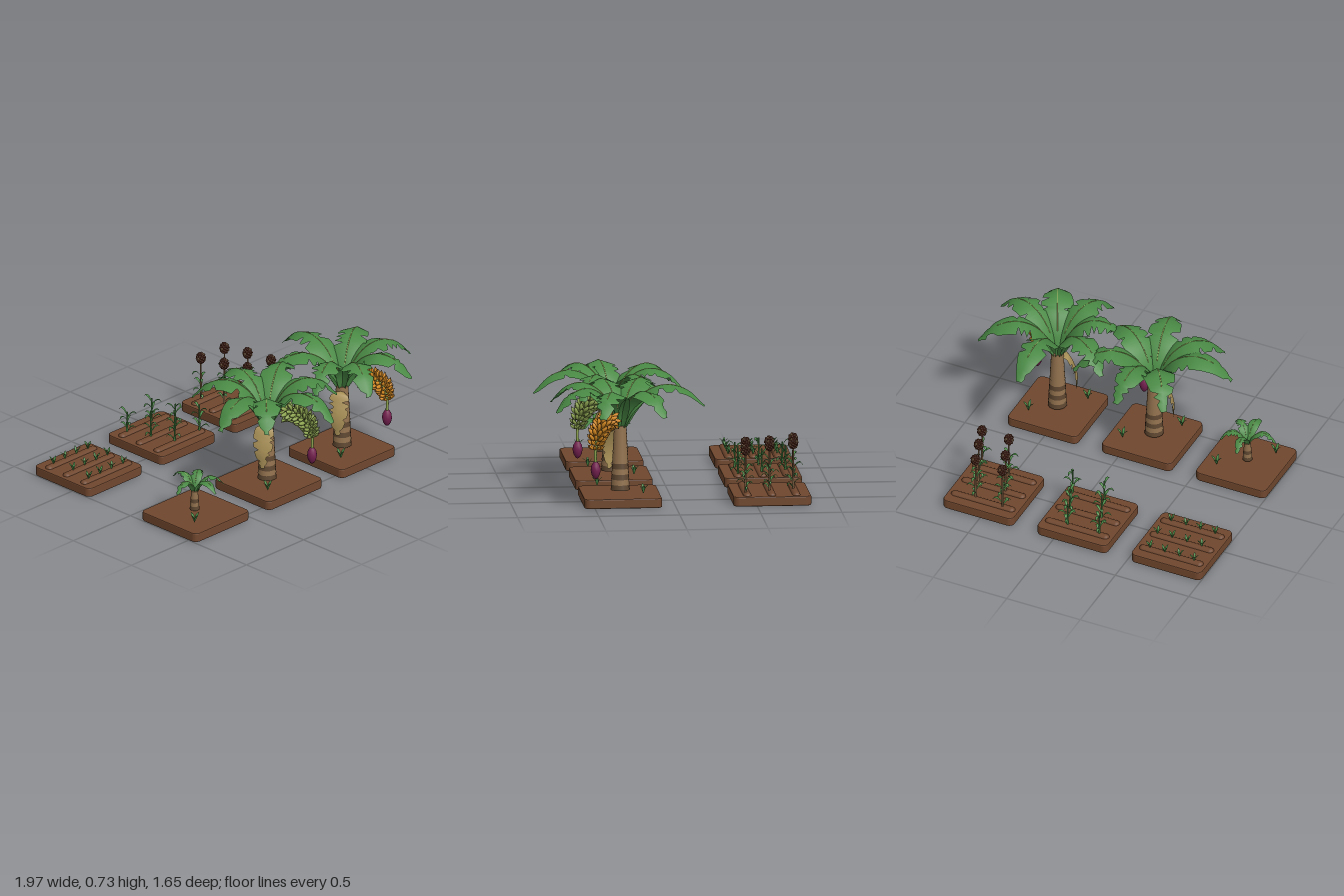
import * as THREE from 'three';

const mat = (name, color, side = THREE.FrontSide) => {
  const m = new THREE.MeshStandardMaterial({ color, side });
  m.name = name;
  return m;
};
const V = (x, y, z = 0) => new THREE.Vector3(x, y, z);

export function createModel() {
  const soil = mat('soil', 0x70472e), leaf = mat('leafGreen', 0x4a8a45, THREE.DoubleSide);
  const rib = mat('midribYellow', 0xb4b765), bark = mat('trunkTan', 0x8f6f4c);
  const darkBark = mat('darkBark', 0x5c452f), dry = mat('dryLeaf', 0xaa9158, THREE.DoubleSide);
  const ripe = mat('ripeFruit', 0xd98c22), unripe = mat('unripeFruit', 0x8fa651);
  const purple = mat('budPurple', 0x74204f), grain = mat('grainBrown', 0x5a2a1a);

  let seed = 7;
  const rnd = () => (seed = (seed * 16807) % 2147483647) / 2147483647;

  const model = new THREE.Group();
  model.name = 'farmPlots';
  const add = (parent, name, geo, m, x = 0, y = 0, z = 0) => {
    const mesh = new THREE.Mesh(geo, m);
    mesh.name = name;
    mesh.position.set(x, y, z);
    parent.add(mesh);
    return mesh;
  };
  const group = (parent, name, x = 0, y = 0, z = 0) => {
    const g = new THREE.Group();
    g.name = name;
    g.position.set(x, y, z);
    parent.add(g);
    return g;
  };

  // Blade along +x: three points per row, edges drooped, optional torn notches
  function blade(curve, half, rows, droop, torn) {
    const pos = [], idx = [];
    for (let i = 0; i <= rows; i++) {
      const t = i / rows, p = curve.getPoint(t), tan = curve.getTangent(t);
      const w = half * Math.sin(Math.PI * (0.06 + 0.9 * t)) ** 0.8;
      const cut = () => (torn && t > 0.42 && rnd() < 0.27 ? 0.4 + 0.3 * rnd() : 1);
      for (const s of [-1, 0, 1]) {
        const e = w * (s ? cut() : 0);
        pos.push(p.x + tan.y * droop * e, p.y - tan.x * droop * e, s * e);
      }
      if (i < rows) for (const k of [0, 1]) {
        const a = i * 3 + k;
        idx.push(a, a + 1, a + 3, a + 1, a + 4, a + 3);
      }
    }
    const g = new THREE.BufferGeometry();
    g.setAttribute('position', new THREE.Float32BufferAttribute(pos, 3));
    g.setIndex(idx);
    g.computeVertexNormals();
    return g;
  }
  const path = (pts, sx = 1, sy = 1) => new THREE.CatmullRomCurve3(pts.map(([x, y]) => V(x * sx, y * sy)));

  // Crown of arching leaves; each entry is [angle in degrees, reach]
  const arch = [[0.012, -0.01], [0.06, 0.12], [0.14, 0.215], [0.25, 0.258], [0.37, 0.225], [0.47, 0.125]];
  function crown(parent, y, leaves, size, half) {
    const g = group(parent, 'leafCrown', 0, y, 0);
    for (const [deg, reach] of leaves) {
      const curve = path(arch, reach / 0.47, size);
      const one = group(g, 'leaf');
      one.rotation.y = -deg * Math.PI / 180;
      add(one, 'leafBlade', blade(curve, half, 30, 0.35, true), leaf);
      const line = new THREE.CatmullRomCurve3([0.2, 0.35, 0.5, 0.65, 0.78].map(t => curve.getPoint(t)));
      add(one, 'midrib', new THREE.TubeGeometry(line, 14, 0.0025 * size, 4), rib);
    }
  }

  // Trunk of overlapping flared sheaths, darker near the foot
  function trunk(parent, y0, y1, r0, r1, n) {
    const h = (y1 - y0) / n;
    for (let i = 0; i < n; i++) {
      const r = r0 + (r1 - r0) * i / n;
      add(parent, 'trunkSheath', new THREE.CylinderGeometry(r * 0.94, r * 1.03, h, 14),
        i < n / 2 && i % 2 === 0 ? darkBark : bark, 0, y0 + h * (i + 0.5), 0);
    }
  }

  // Curved fruit finger growing along +y from the origin
  const finger = new THREE.LatheGeometry([[0, 0], [0.005, 0.002], [0.011, 0.018], [0.0125, 0.034], [0.009, 0.05], [0.003, 0.058]]
    .map(([x, y]) => new THREE.Vector2(x, y)), 7);
  const tip = new THREE.CylinderGeometry(0.002, 0.0035, 0.008, 5).translate(0, 0.06, 0);
  for (const g of [finger, tip]) {
    const p = g.attributes.position;
    for (let i = 0; i < p.count; i++) p.setX(i, p.getX(i) + 4.5 * p.getY(i) * (0.058 - p.getY(i)));
    g.computeVertexNormals();
  }

  // Fruit bunch hanging from an arched stalk, with a flower bud at the end
  function bunch(parent, deg, colour) {
    const g = group(parent, 'fruitBunch');
    g.rotation.y = -deg * Math.PI / 180;
    const stalk = path([[0, 0.46], [0.07, 0.515], [0.16, 0.525], [0.245, 0.465], [0.278, 0.37], [0.278, 0.27]]);
    add(g, 'stalk', new THREE.TubeGeometry(stalk, 24, 0.009, 7), unripe);
    const side = V(0, 0, 1);
    for (let h = 0; h < 10; h++) {
      const t = 0.3 + 0.055 * h, p = stalk.getPointAt(t), T = stalk.getTangentAt(t);
      const up = V().crossVectors(side, T), scale = h > 6 ? 1 - 0.1 * (h - 6) : 1;
      for (let k = 0; k < 8; k++) {
        const a = (k + (h % 2) / 2) * Math.PI / 4;
        const out = V().addScaledVector(up, Math.cos(a)).addScaledVector(side, Math.sin(a));
        const dir = out.clone().multiplyScalar(0.85).addScaledVector(T, -0.5).normalize();
        const bend = out.clone().addScaledVector(dir, -out.dot(dir)).normalize();
        const m = new THREE.Matrix4().makeBasis(bend, dir, V().crossVectors(bend, dir));
        const f = group(g, 'fruit');
        f.position.copy(p).addScaledVector(out, 0.012);
        f.quaternion.setFromRotationMatrix(m);
        f.scale.setScalar(scale * 1.08);
        add(f, 'fruitBody', finger, colour);
        add(f, 'fruitTip', tip, darkBark);
      }
    }
    const bud = [[0, -0.056], [0.012, -0.05], [0.025, -0.028], [0.031, 0], [0.027, 0.028], [0.014, 0.05], [0, 0.056]];
    add(g, 'flowerBud', new THREE.LatheGeometry(bud.map(([x, y]) => new THREE.Vector2(x, y)), 14), purple, 0.278, 0.24, 0);
  }

  // Low sprout of short upright blades
  function sprout(parent, x, y, z, size) {
    const g = group(parent, 'sprout', x, y, z);
    const curve = path([[0, 0], [0.25, 0.7], [0.6, 1]], size, size);
    for (let k = 0; k < 4; k++) {
      add(g, 'sproutBlade', blade(curve, size * 0.17, 5, 0.2, false), leaf).rotation.y = k * 1.57 + x * 20 + z * 9;
    }
  }

  // Upright crop stalk with alternating leaves and, when mature, a grain head
  function stalkPlant(parent, x, z, h, mature) {
    const g = group(parent, mature ? 'maturePlant' : 'youngPlant', x, 0.07, z);
    add(g, 'stem', new THREE.CylinderGeometry(0.004, 0.007, h, 6), mature ? bark : leaf, 0, h / 2, 0);
    const n = mature ? 8 : 7, top = mature ? 0.17 : h * 0.92, turn = rnd() * 6;
    for (let k = 0; k < n; k++) {
      const L = 0.05 + 0.015 * rnd();
      const curve = path([[0, 0], [0.4, 0.55], [0.75, 0.65], [1, 0.35]], L, L);
      add(g, 'stalkLeaf', blade(curve, 0.009, 7, 0.3, false), leaf, 0, 0.01 + top * k / n, 0).rotation.y = turn + k * 2.5;
    }
    if (!mature) return;
    const head = group(g, 'grainHead', 0, h, 0);
    const seedGeo = new THREE.IcosahedronGeometry(0.0095, 0);
    add(head, 'grainCore', new THREE.SphereGeometry(0.022, 10, 8), grain).scale.y = 1.3;
    for (let k = 0; k < 36; k++) {
      const y = 1 - 2 * (k + 0.5) / 36, r = Math.sqrt(1 - y * y), a = k * 2.4;
      add(head, 'grainSeed', seedGeo, k % 7 === 3 ? bark : grain, 0.024 * r * Math.cos(a), 0.031 * y, 0.024 * r * Math.sin(a));
    }
  }

  // Soil beds: rounded slabs with a small bevel
  const s = 0.233, c = 0.03, outline = new THREE.Shape();
  outline.absarc(s - c, s - c, c, 0, Math.PI / 2);
  outline.absarc(c - s, s - c, c, Math.PI / 2, Math.PI);
  outline.absarc(c - s, c - s, c, Math.PI, Math.PI * 1.5);
  outline.absarc(s - c, c - s, c, Math.PI * 1.5, Math.PI * 2);
  const bed = new THREE.ExtrudeGeometry(outline, { depth: 0.046, bevelSize: 0.007, bevelThickness: 0.007, bevelSegments: 2, curveSegments: 6 });
  bed.rotateX(-Math.PI / 2).translate(0, 0.007, 0);
  const ridge = new THREE.CapsuleGeometry(0.026, 0.38, 5, 12).rotateZ(Math.PI / 2).scale(1, 0.75, 1);
  const xs = [-0.76, -0.12, 0.52], rowsZ = [-0.15, 0, 0.152];
  const [front, back] = [0.325, -0.595].map(z => xs.map(x => {
    const g = group(model, z > 0 ? 'treePlot' : 'cropPlot', x, 0, z);
    add(g, 'soilBed', bed, soil);
    if (z < 0) for (const r of rowsZ) add(g, 'soilRidge', ridge, soil, 0, 0.058, r);
    else for (const q of [-1, 1]) sprout(g, q * 0.14, 0.077, -q * 0.13, 0.055);
    return g;
  }));

  // Crop rows at three growth stages
  rowsZ.forEach((z, i) => {
    const shift = [0, 0.02, 0][i];
    for (let k = 0; k < 4; k++) sprout(back[0], -0.155 + shift + k * 0.1, 0.074, z, 0.045);
    for (const k of [0, 1]) {
      stalkPlant(back[1], -0.15 + 0.055 * i + k * 0.215, z, 0.14 + 0.04 * rnd(), false);
      stalkPlant(back[2], -0.135 + 0.05 * i + k * 0.19, z + (k ? 0.008 : -0.008), 0.27 + 0.02 * rnd(), true);
    }
  });

  // Young tree
  const young = group(front[0], 'youngTree', -0.008, 0, 0);
  trunk(young, 0.077, 0.2, 0.03, 0.02, 5);
  crown(young, 0.19, [[-93, 0.18], [-32, 0.17], [42, 0.18], [92, 0.19], [172, 0.18]], 0.42, 0.036);

  // Two grown trees with fruit and a hanging dry leaf
  const grown = [
    [front[1], -0.013, 0.462, [[-83, 0.45], [-123, 0.47], [171, 0.5], [136, 0.46], [80, 0.495], [28, 0.45], [-29, 0.5]], 52, unripe],
    [front[2], 0.005, 0.478, [[-88, 0.52], [-150, 0.49], [158, 0.43], [114, 0.455], [65, 0.455], [18, 0.47], [-30, 0.49]], 38, ripe],
  ];
  for (const [plot, x, top, leaves, deg, colour] of grown) {
    const tree = group(plot, 'grownTree', x, 0, 0);
    trunk(tree, 0.077, top, 0.058, 0.038, 12);
    crown(tree, top - 0.005, leaves, 1, 0.1);
    bunch(tree, deg, colour);
    const hang = path([[0.03, 0.455], [0.07, 0.45], [0.105, 0.38], [0.125, 0.29], [0.12, 0.19]]);
    add(tree, 'dryLeaf', blade(hang, 0.065, 26, 0.3, true), dry).rotation.y = -150 * Math.PI / 180;
  }
  return model;
}
